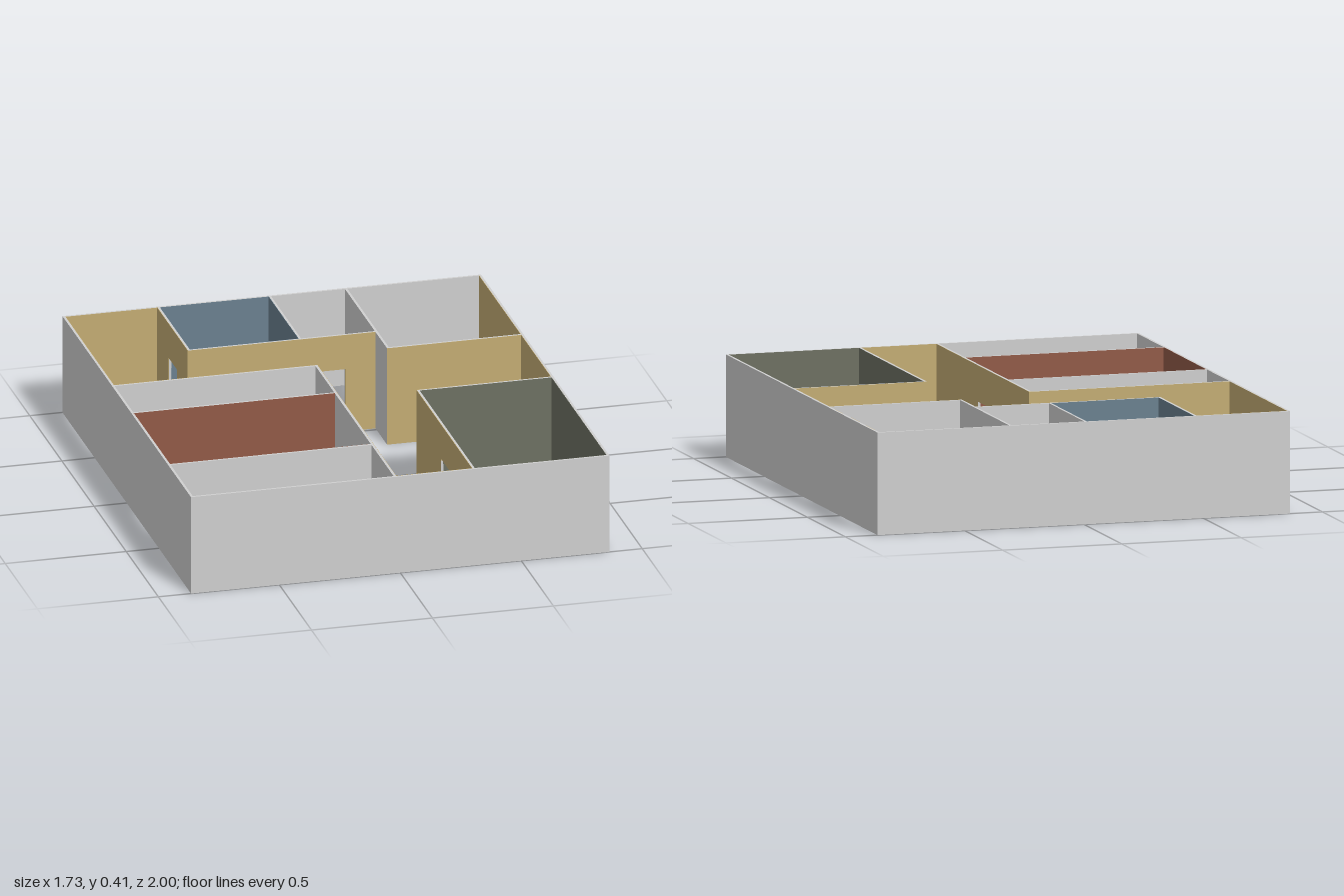
import * as THREE from 'three';

const H = 0.415;          // wall height
const DOOR_H = 0.268;
const T = 0.01;           // wall thickness
const SKIN = 0.002;       // paint plate thickness

const mat = (name, color) => {
  const m = new THREE.MeshStandardMaterial({ color });
  m.name = name;
  return m;
};

// Doorways: wall axis (plane x = at or z = at) and opening along the wall
const doors = [
  { axis: 'z', at: 0.64, from: -0.5, to: -0.375 },
  { axis: 'x', at: -0.02, from: 0.312, to: 0.442 },
  { axis: 'x', at: -0.02, from: -0.15, to: -0.02 },
  { axis: 'z', at: -0.52, from: 0.07, to: 0.175 },
  { axis: 'x', at: 0.305, from: 0.505, to: 0.633 },
  { axis: 'x', at: -0.47, from: -0.81, to: -0.68 },
];

// Upright slab centred on the plane axis = at + offset, with door notches cut from its foot
function slab(name, axis, at, offset, from, to, thickness, material) {
  const s = new THREE.Shape();
  s.moveTo(from, 0);
  doors
    .filter(d => d.axis === axis && d.at === at && d.from > from && d.to < to)
    .sort((a, b) => a.from - b.from)
    .forEach(d => {
      s.lineTo(d.from, 0);
      s.lineTo(d.from, DOOR_H);
      s.lineTo(d.to, DOOR_H);
      s.lineTo(d.to, 0);
    });
  s.lineTo(to, 0);
  s.lineTo(to, H);
  s.lineTo(from, H);
  const g = new THREE.ExtrudeGeometry(s, { depth: thickness, bevelEnabled: false });
  g.translate(0, 0, -thickness / 2);
  if (axis === 'x') g.rotateY(-Math.PI / 2);
  const mesh = new THREE.Mesh(g, material);
  mesh.position[axis] = at + offset;
  mesh.name = name;
  return mesh;
}

export function createModel() {
  const grey = mat('plaster grey', 0xd0d0d0);
  const tan = mat('hall tan', 0xc4ad74);
  const red = mat('brick red', 0x925b48);
  const olive = mat('olive grey', 0x6e7163);
  const blue = mat('slate blue', 0x6b8190);

  const house = new THREE.Group();
  house.name = 'roomWalls';
  const X = 0.86, Z = 0.995, h = T / 2;

  // Plain walls
  const walls = [
    ['frontWall', 'z', Z, -X - h, X + h],
    ['backWall', 'z', -Z, -X - h, X + h],
    ['leftWall', 'x', X, -Z + h, Z - h],
    ['rightWall', 'x', -X, -Z + h, Z - h],
    ['corridorWall', 'x', -0.02, -0.23 - h, Z - h],
    ['rightRoomBackWall', 'z', -0.23, -X + h, -0.02 - h],
    ['rightRoomPartition', 'z', 0.07, -X + h, -0.02 - h],
    ['rightRoomPartition', 'z', 0.64, -X + h, -0.02 - h],
    ['frontRoomSideWall', 'x', 0.305, 0.13 - h, Z - h],
    ['frontRoomBackWall', 'z', 0.13, 0.305 + h, X - h],
    ['backRoomSideWall', 'x', 0.305, -Z + h, -0.34 + h],
    ['backRoomFrontWall', 'z', -0.34, 0.305 + h, X - h],
    ['blueRoomSideWall', 'x', -0.47, -Z + h, -0.52 + h],
    ['blueRoomPartition', 'x', -0.01, -Z + h, -0.52 - h],
    ['backRoomsFrontWall', 'z', -0.52, -0.47 + h, 0.305 - h],
  ];
  for (const [name, axis, at, a, b] of walls) {
    house.add(slab(name, axis, at, 0, a, b, T, grey));
  }

  // Painted faces: axis, wall position, side the face looks to, span, colour
  const paint = [
    // hall
    ['x', -X, 1, -Z + h, -0.23 - h, tan],
    ['z', -Z, 1, -X + h, -0.47 - h, tan],
    ['x', -0.47, -1, -Z + h, -0.52 + h, tan],
    ['z', -0.52, 1, -0.47 - h, 0.305 - h, tan],
    ['z', -0.34, 1, 0.305 - h, X - h, tan],
    ['x', X, -1, -Z + h, 0.13 - h, tan],
    ['z', 0.13, -1, 0.305 - h, X - h, tan],
    ['x', 0.305, -1, 0.13 - h, Z - h, tan],
    ['z', Z, -1, -0.02 + h, 0.305 - h, tan],
    ['x', -0.02, 1, -0.23 - h, Z - h, tan],
    ['z', -0.23, -1, -X + h, -0.02 + h, tan],
    // red room
    ['x', -X, 1, 0.07 + h, 0.64 - h, red],
    ['z', 0.07, 1, -X + h, -0.02 - h, red],
    ['z', 0.64, -1, -X + h, -0.02 - h, red],
    // olive room
    ['x', 0.305, 1, 0.13 + h, Z - h, olive],
    ['x', X, -1, 0.13 + h, Z - h, olive],
    ['z', 0.13, 1, 0.305 + h, X - h, olive],
    ['z', Z, -1, 0.305 + h, X - h, olive],
    // blue room
    ['x', -0.47, 1, -Z + h, -0.52 - h, blue],
    ['x', -0.01, -1, -Z + h, -0.52 - h, blue],
    ['z', -Z, 1, -0.47 + h, -0.01 - h, blue],
    ['z', -0.52, -1, -0.47 + h, -0.01 - h, blue],
  ];
  for (const [axis, at, side, a, b, m] of paint) {
    house.add(slab('wallPaint', axis, at, side * h, a, b, SKIN, m));
  }
  return house;
}
